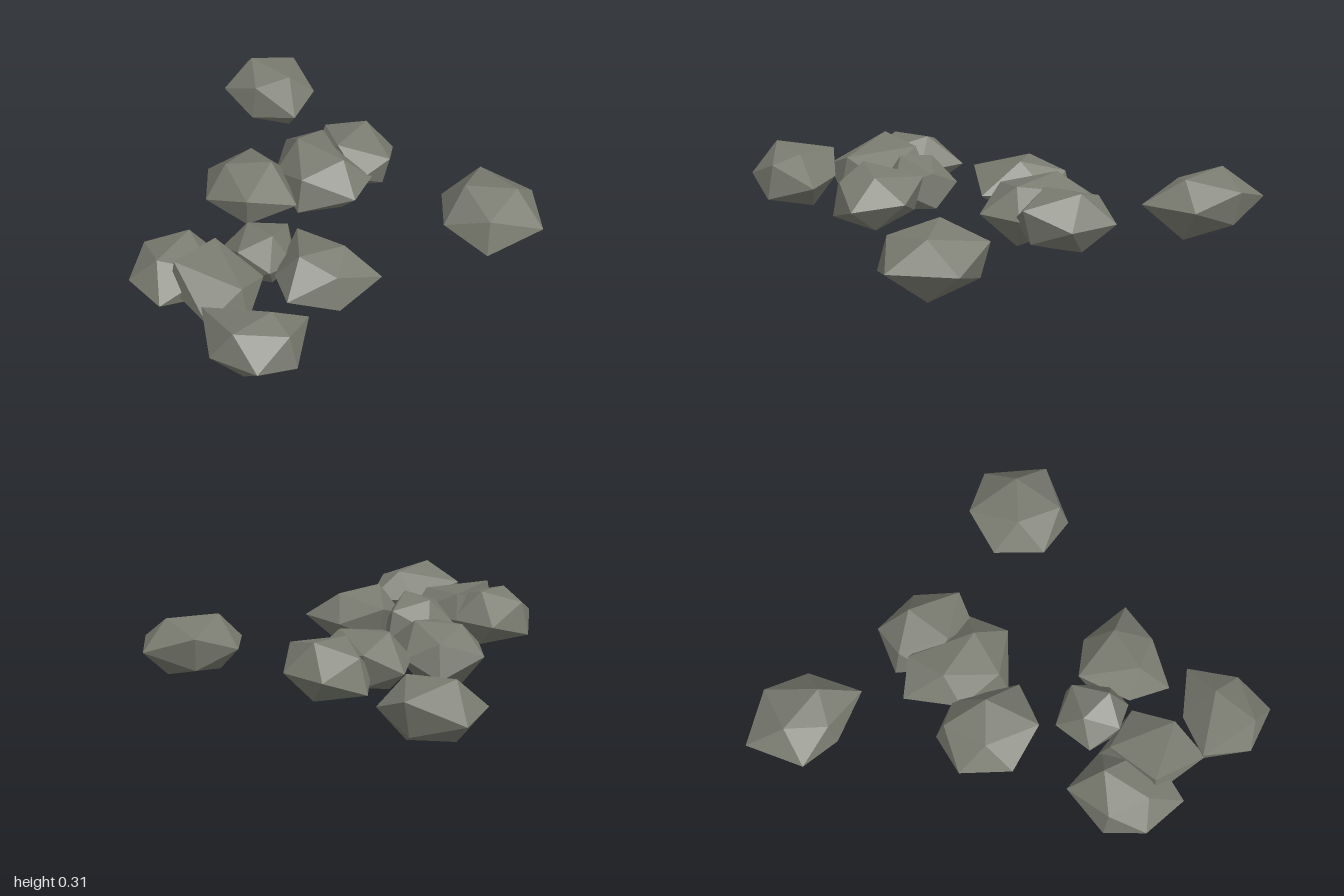
import * as THREE from 'three';

// Rim of each rock as six [x, z] points, counter-clockwise seen from above.
// Points 0 and 3 are the blunt ends, the others are sharp corners.
const RIMS = {
  rockBackLeft: [[0.55, -0.69], [0.61, -0.45], [0.86, -0.55], [0.93, -0.76], [0.83, -1], [0.56, -0.9]],
  rockBackCentre: [[0.22, -0.37], [0, -0.45], [-0.18, -0.28], [-0.14, -0.05], [0.08, 0.06], [0.26, -0.2]],
  rockCentreLeft: [[0.12, 0.03], [0.3, 0.23], [0.5, 0.16], [0.54, -0.2], [0.44, -0.35], [0.21, -0.2]],
  rockLeft: [[0.58, -0.26], [0.45, -0.17], [0.44, 0.14], [0.58, 0.2], [0.76, 0.07], [0.77, -0.17]],
  rockFrontLeft: [[0.48, 0.88], [0.73, 1], [0.94, 0.78], [0.83, 0.55], [0.62, 0.49], [0.44, 0.65]],
  rockBackRight: [[-0.67, -0.21], [-0.83, -0.1], [-0.86, 0.13], [-0.6, 0.2], [-0.42, 0.07], [-0.42, -0.18]],
  rockRight: [[-0.6, 0.41], [-0.4, 0.31], [-0.42, 0.04], [-0.58, 0.07], [-0.74, 0.07], [-0.8, 0.36]],
  rockSmall: [[-0.09, 0.2], [-0.18, 0.02], [-0.38, 0.03], [-0.43, 0.18], [-0.37, 0.32], [-0.24, 0.34]],
  rockFrontRight: [[-0.67, 0.77], [-0.46, 0.64], [-0.6, 0.44], [-0.8, 0.33], [-0.94, 0.52], [-0.88, 0.74]],
  rockFrontCentre: [[-0.27, 0.65], [-0.04, 0.69], [0, 0.43], [-0.12, 0.25], [-0.36, 0.34], [-0.46, 0.51]],
};

// Rocks whose crown leans out over the rim: [x, z] of the two peaks
const LEANING = {
  rockLeft: [[0.45, -0.02], [0.68, -0.04]],
  rockRight: [[-0.46, 0.07], [-0.72, 0.08]],
  rockFrontRight: [[-0.65, 0.6], [-0.88, 0.6]],
};

const MIDDLE = 0.165; // height of the sharp corners
const BLUNT = 0.08;   // half height of the blunt ends
const toPoint = ([x, z]) => new THREE.Vector2(x, z);

// Move the twelve corners of an icosahedron onto the rim, crown and underside of a rock
function rockGeometry(name, index) {
  const rim = RIMS[name].map(toPoint);
  const centre = rim.reduce((sum, p) => sum.add(p), new THREE.Vector2()).divideScalar(rim.length);
  // A peak or foot lies between the centre and the middle of its two sharp corners
  const inner = (a, b) => rim[a].clone().lerp(rim[b], 0.5).lerp(centre, 0.45);
  const feet = [inner(1, 2), inner(4, 5)];
  const peaks = LEANING[name]?.map(toPoint) ?? feet;
  const crown = [0.285, 0.305];
  const base = [0.004 * index, 0.04];

  const geometry = new THREE.IcosahedronGeometry(1, 0);
  const pos = geometry.attributes.position;
  for (let i = 0; i < pos.count; i++) {
    const x = pos.getX(i), y = pos.getY(i), z = pos.getZ(i);
    const side = x > 0 ? 0 : 1;
    let p, height;
    if (Math.abs(y) > 0.7) { // crown and underside
      p = y > 0 ? peaks[side] : feet[side];
      height = y > 0 ? crown[side] : base[side];
    } else if (Math.abs(y) > 0.3) { // blunt ends: one leans in, the other out
      const inset = y * z > 0 ? 0.18 : 0;
      p = rim[z > 0 ? 0 : 3].clone().lerp(centre, inset);
      height = MIDDLE + Math.sign(y) * BLUNT;
    } else { // sharp corners
      p = side === 0 ? rim[z > 0 ? 1 : 2] : rim[z > 0 ? 5 : 4];
      height = MIDDLE;
    }
    pos.setXYZ(i, p.x, height, p.y);
  }
  geometry.computeVertexNormals();
  return geometry;
}

export function createModel() {
  const group = new THREE.Group();
  group.name = 'rockCluster';
  const stone = new THREE.MeshStandardMaterial({ color: 0x7a7c71, flatShading: true });
  stone.name = 'stone grey';
  Object.keys(RIMS).forEach((name, index) => {
    const mesh = new THREE.Mesh(rockGeometry(name, index), stone);
    mesh.name = name;
    group.add(mesh);
  });
  return group;
}
